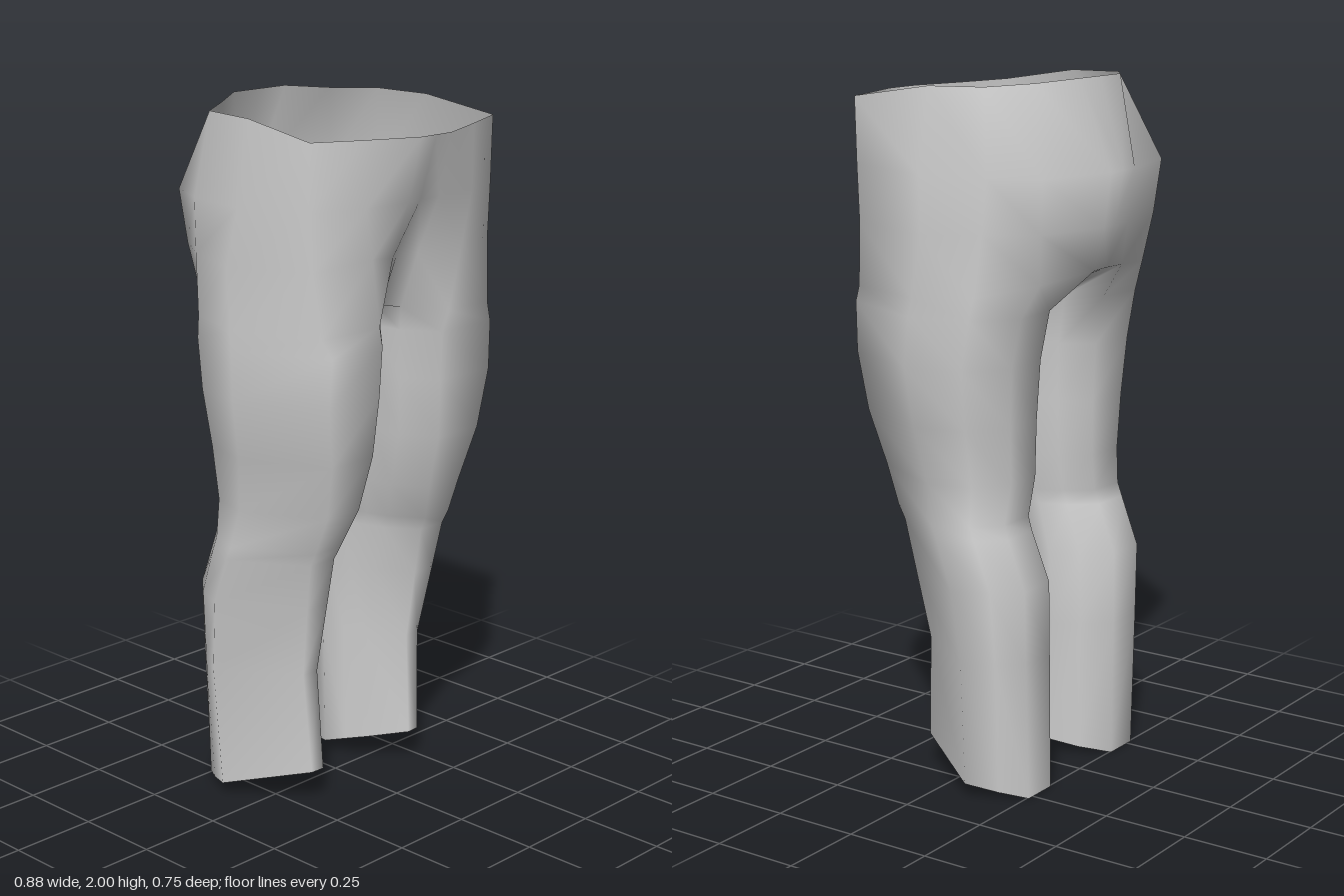
import * as THREE from 'three';
import { mergeVertices } from 'three/addons/utils/BufferGeometryUtils.js';

// Torso half sections on the left side, from centre front round to centre back
const TORSO = [
  [[0, 1.94, 0.373], [0.06, 1.94, 0.373], [0.22, 1.942, 0.314], [0.362, 1.945, 0.26], [0.35, 1.982, 0.02],
    [0.332, 1.985, -0.15], [0.21, 1.99, -0.23], [0.1, 2, -0.3], [0, 2, -0.3]],
  [[0, 1.76, 0.318], [0.06, 1.76, 0.33], [0.21, 1.76, 0.318], [0.362, 1.76, 0.255], [0.395, 1.75, 0.02],
    [0.365, 1.75, -0.18], [0.3, 1.75, -0.315], [0.06, 1.75, -0.375], [0, 1.75, -0.375]],
  [[0, 1.6, 0.235], [0.05, 1.6, 0.265], [0.18, 1.62, 0.312], [0.35, 1.6, 0.258], [0.417, 1.59, 0],
    [0.372, 1.6, -0.17], [0.285, 1.6, -0.3], [0.06, 1.6, -0.355], [0, 1.6, -0.35]],
  [[0, 1.445, 0.16], [0.045, 1.44, 0.21], [0.14, 1.43, 0.302], [0.335, 1.42, 0.275], [0.428, 1.42, 0.02],
    [0.385, 1.43, -0.15], [0.26, 1.46, -0.28], [0.07, 1.48, -0.33], [0, 1.48, -0.325]],
];
// Inner thigh points that close the first leg section, from back to front
const INNER = [[0.085, 1.42, -0.2], [0.065, 1.44, -0.03], [0.05, 1.44, 0.1]];

// Leg section outlines: u runs inner to outer, v runs back to front
const THIGH = [[0.02, 0.8], [0.18, 0.99], [0.7, 1], [1, 0.5], [0.9, 0.18], [0.62, 0], [0.22, 0.02], [0.08, 0.2], [0.02, 0.42], [0, 0.62]];
const HEM = [[0.19, 0.72], [0.4, 1], [0.54, 0.99], [1, 0.4], [0.85, 0.18], [0.69, 0], [0.33, 0], [0.13, 0.2], [0, 0.4], [0.09, 0.55]];
// Leg levels: y, inner x, outer x, front z, back z, blend from thigh to hem, hem slope
const LEG = [
  [1.37, 0.052, 0.434, 0.3, -0.24, 0, 0],
  [1.23, 0.055, 0.44, 0.293, -0.212, 0, 0],
  [1.06, 0.06, 0.412, 0.278, -0.2, 0.15, 0],
  [0.9, 0.062, 0.387, 0.235, -0.195, 0.35, 0],
  [0.79, 0.08, 0.4, 0.193, -0.187, 0.55, 0],
  [0.75, 0.08, 0.402, 0.172, -0.2, 0.6, 0],
  [0.61, 0.068, 0.402, 0.147, -0.255, 0.75, 0],
  [0.4, 0.06, 0.39, 0.11, -0.255, 0.95, 0],
  [0, 0.06, 0.365, 0.128, -0.255, 1, 0.1],
];

function legRing([y, inner, outer, front, back, blend, slope]) {
  return THIGH.map(([u0, v0], i) => {
    const u = u0 + (HEM[i][0] - u0) * blend;
    const v = v0 + (HEM[i][1] - v0) * blend;
    return [inner + (outer - inner) * u, y + slope * v, back + (front - back) * v];
  });
}

// Adds quads between two rows of points, mirrored onto both sides
function strip(out, a, b, closed) {
  const count = closed ? a.length : a.length - 1;
  for (let i = 0; i < count; i++) {
    const j = (i + 1) % a.length;
    const quad = [a[i], b[i], b[j], a[i], b[j], a[j]];
    quad.forEach((p) => out.push(...p));
    quad.reverse().forEach(([x, y, z]) => out.push(x === 0 ? 0 : -x, y, z));
  }
}

export function createModel() {
  const group = new THREE.Group();
  group.name = 'trousers';
  const cloth = new THREE.MeshStandardMaterial({ color: 0xcccccc, side: THREE.DoubleSide });
  cloth.name = 'grey cloth';
  const pos = [];

  // Waist, hips and seat
  for (let i = 0; i < TORSO.length - 1; i++) strip(pos, TORSO[i], TORSO[i + 1], false);

  // Crotch bridge between the legs
  const low = TORSO[TORSO.length - 1];
  const seam = [low[7], ...INNER, low[1]];
  const centre = [low[8], ...INNER.map(([, y, z]) => [0, y + 0.005, z]), low[0]];
  strip(pos, centre, seam, false);

  // Legs down to the sloping open hems
  const rings = [[...low.slice(1, 8), ...INNER], ...LEG.map(legRing)];
  for (let i = 0; i < rings.length - 1; i++) strip(pos, rings[i], rings[i + 1], true);

  // Weld so that the cloth shades smoothly across every seam
  let geometry = new THREE.BufferGeometry();
  geometry.setAttribute('position', new THREE.Float32BufferAttribute(pos, 3));
  geometry = mergeVertices(geometry, 1e-4);
  geometry.computeVertexNormals();
  const mesh = new THREE.Mesh(geometry, cloth);
  mesh.name = 'trouserCloth';
  group.add(mesh);
  return group;
}
